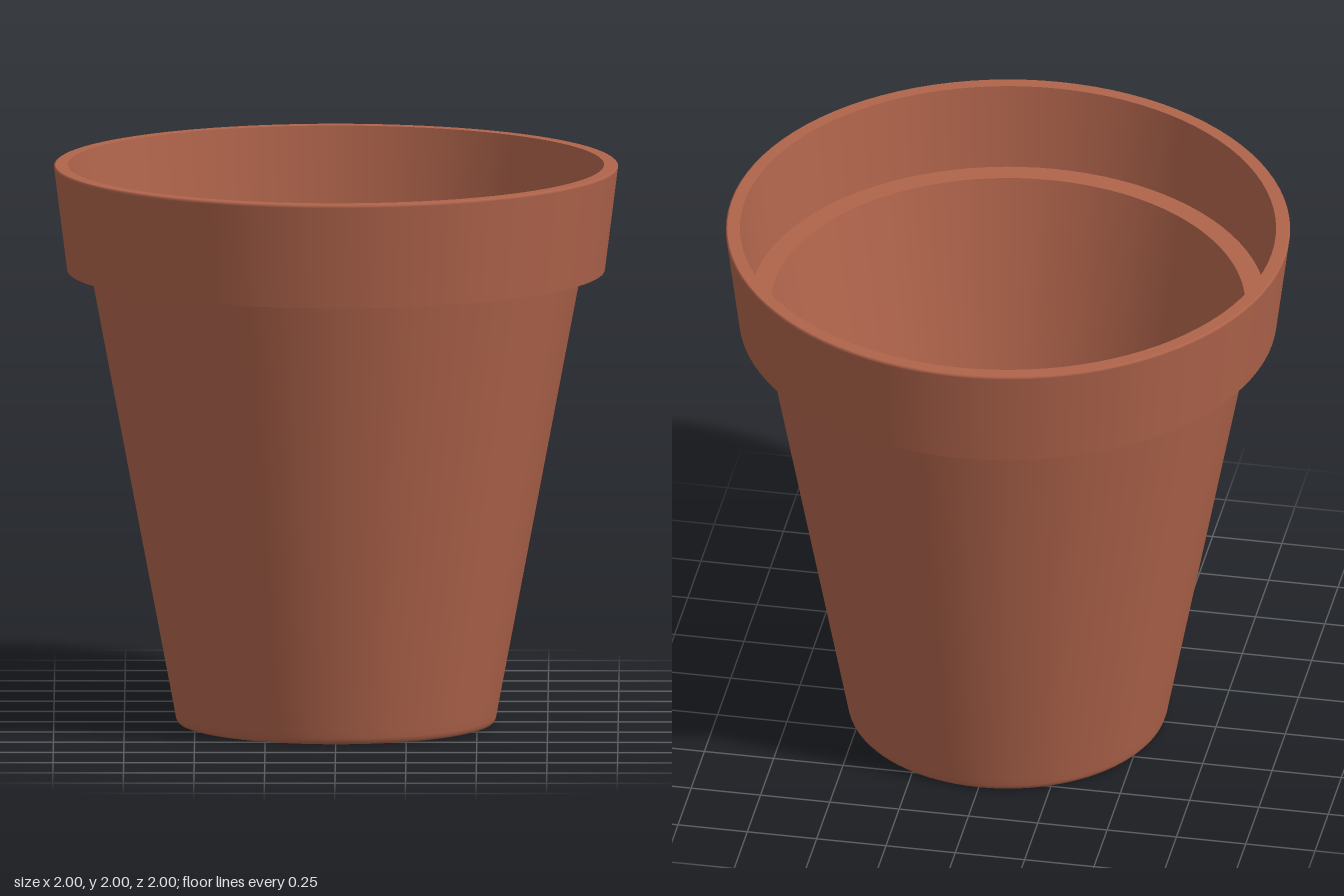
import * as THREE from 'three';

export function createModel() {
  const pot = new THREE.Group();
  pot.name = 'flowerPot';

  const terracotta = new THREE.MeshStandardMaterial({ color: 0xb0644b });
  terracotta.name = 'terracotta';

  // Each surface is its own lathe, so the edges between them stay sharp.
  const surface = (name, profile) => {
    const points = profile.map(([r, y]) => new THREE.Vector2(r, y));
    const mesh = new THREE.Mesh(new THREE.LatheGeometry(points, 96), terracotta);
    mesh.name = name;
    pot.add(mesh);
  };

  // Outside, from the base up
  surface('baseUnderside', [[0, 0], [0.55, 0]]);
  surface('outerWall', [[0.55, 0], [0.558, 0.003], [0.564, 0.01], [0.568, 0.022], [0.573, 0.05], [0.87, 1.62]]);
  surface('rimUnderside', [[0.87, 1.62], [0.953, 1.62]]);
  surface('rimOuterWall', [[0.953, 1.62], [0.999, 1.985]]);
  surface('rimEdge', [[0.999, 1.985], [1, 1.992], [0.995, 1.996]]);

  // Inside, from the lip down
  surface('rimLip', [[0.995, 1.996], [0.95, 1.996]]);
  surface('rimInnerWall', [[0.95, 1.996], [0.917, 1.68]]);
  surface('innerLedge', [[0.917, 1.68], [0.841, 1.68]]);
  surface('innerWall', [[0.841, 1.68], [0.525, 0.045]]);
  surface('potFloor', [[0.525, 0.045], [0, 0.045]]);

  return pot;
}
